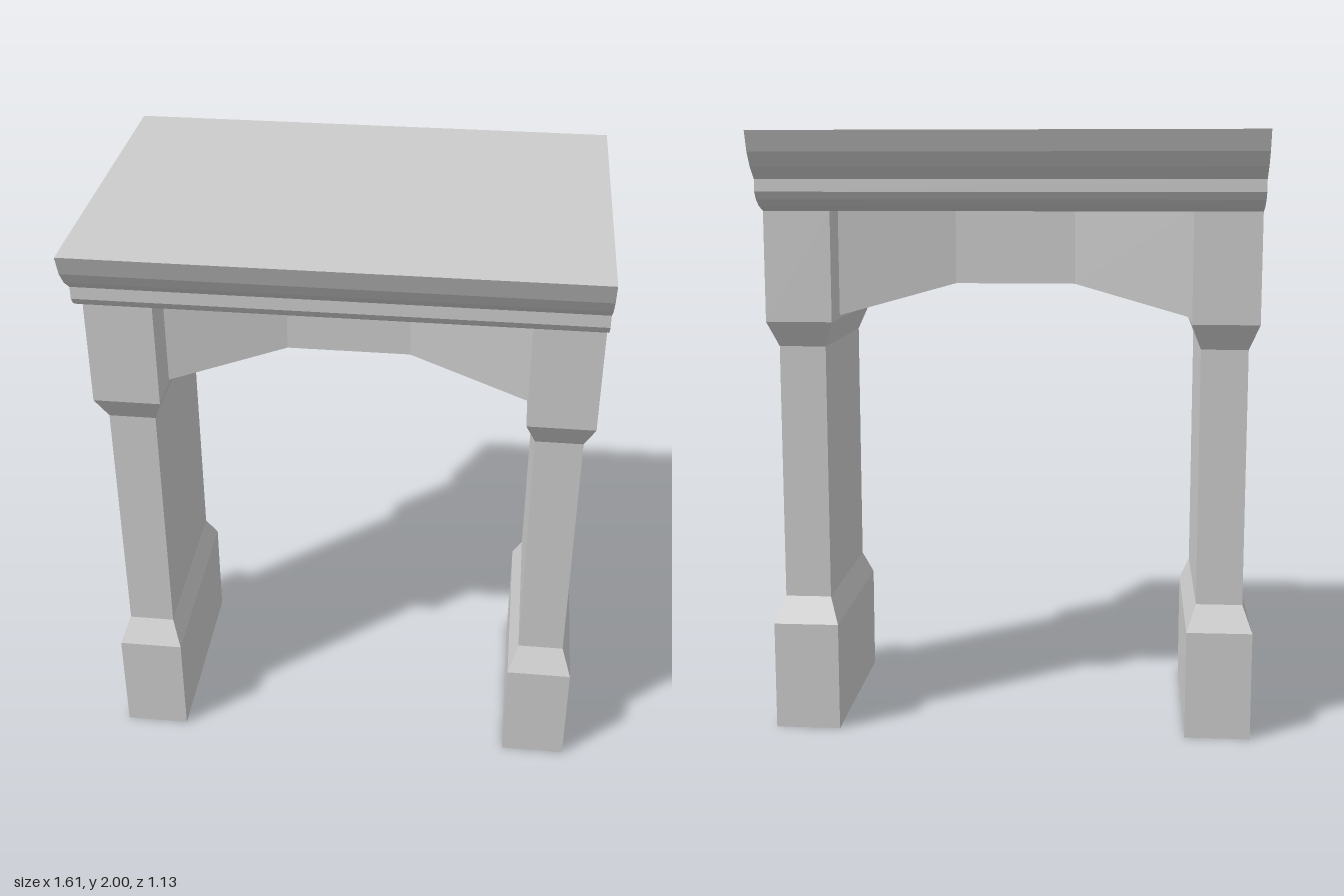
import * as THREE from 'three';

const stone = new THREE.MeshStandardMaterial({ color: 0xcccccc, side: THREE.DoubleSide, flatShading: true });
stone.name = 'grey stone';

function addPart(group, name, geometry) {
  const flat = geometry.index ? geometry.toNonIndexed() : geometry;
  flat.computeVertexNormals();
  const mesh = new THREE.Mesh(flat, stone);
  mesh.name = name;
  group.add(mesh);
  return mesh;
}

// Rectangular hollow pier, open at the base: [y, half width, half depth] from top to bottom
function pierGeometry() {
  const rings = [
    [1.75, 0.109, 0.352], [1.39, 0.109, 0.352], [1.305, 0.077, 0.303],
    [0.45, 0.077, 0.303], [0.365, 0.109, 0.352], [0, 0.109, 0.352],
  ];
  const n = rings.length - 1;
  const g = new THREE.CylinderGeometry(1, 1, 1, 4, n, true, Math.PI / 4);
  const p = g.attributes.position;
  for (let i = 0; i < p.count; i++) {
    const [y, w, d] = rings[Math.round((0.5 - p.getY(i)) * n)];
    p.setXYZ(i, Math.sign(p.getX(i)) * w, y, Math.sign(p.getZ(i)) * d);
  }
  return g;
}

// Arch block: three facets, raised and thinned in the middle
function archGeometry() {
  const stations = [
    [-0.587, 1.4, 0.215], [-0.2, 1.505, 0.142], [0.2, 1.505, 0.142], [0.587, 1.4, 0.215],
  ];
  const g = new THREE.BoxGeometry(3, 1, 1, 3, 1, 1);
  const p = g.attributes.position;
  for (let i = 0; i < p.count; i++) {
    const [x, bottom, depth] = stations[Math.round(p.getX(i) + 1.5)];
    p.setXYZ(i, x, p.getY(i) > 0 ? 1.75 : bottom, Math.sign(p.getZ(i)) * depth);
  }
  return g;
}

// Moulded top slab: symmetric profile extruded along x
function corniceGeometry() {
  const half = [[0.352, 1.75], [0.403, 1.766], [0.44, 1.788], [0.458, 1.812],
    [0.458, 1.852], [0.505, 1.89], [0.54, 1.935], [0.565, 2]];
  const outline = [...half, ...half.map(([z, y]) => [-z, y]).reverse()];
  const shape = new THREE.Shape(outline.map(([z, y]) => new THREE.Vector2(z, y)));
  const g = new THREE.ExtrudeGeometry(shape, { depth: 1.606, bevelEnabled: false });
  g.translate(0, 0, -0.803);
  g.rotateY(Math.PI / 2);
  return g;
}

export function createModel() {
  const model = new THREE.Group();
  model.name = 'stone archway';
  for (const side of [-1, 1]) {
    const pier = addPart(model, side > 0 ? 'leftPier' : 'rightPier', pierGeometry());
    pier.position.x = side * 0.694;
  }
  addPart(model, 'arch', archGeometry());
  addPart(model, 'cornice', corniceGeometry());
  return model;
}
